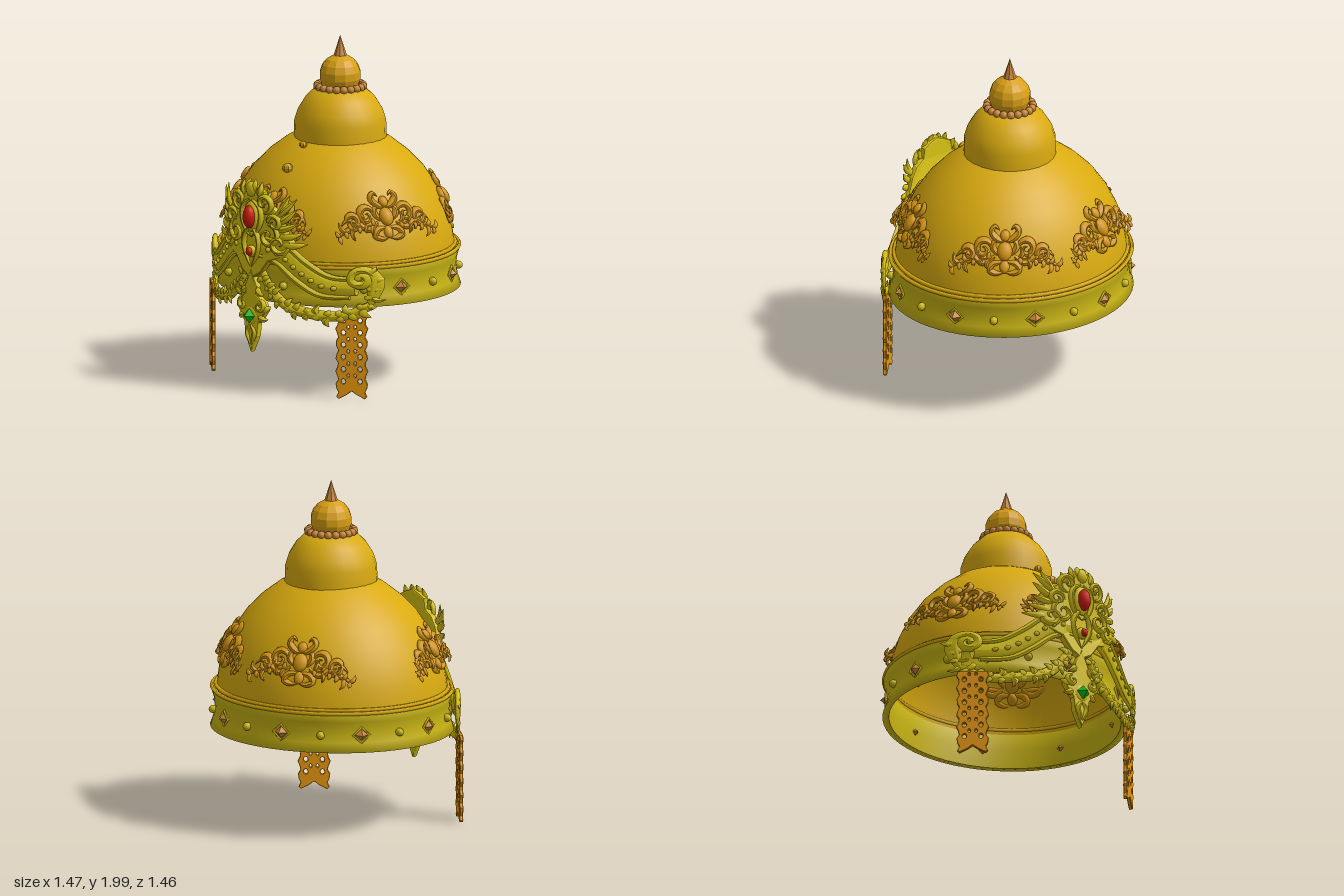
import * as THREE from 'three';
import { mergeGeometries } from 'three/addons/utils/BufferGeometryUtils.js';

const mat = (color, flatShading = false) =>
  new THREE.MeshStandardMaterial({ color, flatShading, side: THREE.DoubleSide });
const gold = mat(0xd9aa0f), facetGold = mat(0xd9a012, true), bandGold = mat(0xc9b414);
const plateGold = mat(0xd6c012), filigreeGold = mat(0xcf9212), orange = mat(0xe8980f);
const bronze = mat(0xc8863a), spikeBronze = mat(0xc8863a, true);
const red = mat(0xcc1a0a), green = mat(0x10c020, true);

function add(parent, name, geometry, material, x = 0, y = 0, z = 0) {
  const m = new THREE.Mesh(geometry, material);
  m.name = name;
  m.position.set(x, y, z);
  parent.add(m);
  return m;
}
const lathe = (pts, seg) => new THREE.LatheGeometry(pts.map(p => new THREE.Vector2(...p)), seg);
const curveOf = pts => new THREE.CatmullRomCurve3(pts.map(([x, y, z = 0]) => new THREE.Vector3(x, y, z)));
const mirrored = pts => pts.map(([x, y, z = 0]) => [-x, y, z]);
const bulge = t => 0.12 + 0.88 * Math.sin(Math.PI * Math.min(1, 0.12 + t * 0.88));
const even = t => 0.75 + 0.25 * Math.sin(Math.PI * t);

// Tapered, flattened tube along a path
function stroke(pts, r, profile = bulge, seg = 14, sides = 6, flat = 0.7) {
  const curve = curveOf(pts), g = new THREE.TubeGeometry(curve, seg, 1, sides), pos = g.attributes.position;
  const p = new THREE.Vector3();
  for (let i = 0; i < pos.count; i++) {
    const t = Math.floor(i / (sides + 1)) / seg, c = curve.getPointAt(t), k = r * profile(t);
    p.fromBufferAttribute(pos, i).sub(c).multiplyScalar(k);
    pos.setXYZ(i, c.x + p.x, c.y + p.y, c.z + p.z * flat);
  }
  return g;
}
// Short leaflets alternating along both sides of a path
function leaflets(pts, n, len, r) {
  const curve = curveOf(pts), out = [];
  for (let i = 0; i < n; i++) {
    const t = (i + 0.5) / n, p = curve.getPointAt(t), d = curve.getTangentAt(t);
    for (const s of [1, -1]) {
      const a = Math.atan2(d.y, d.x) + s * 0.85, l = len * (0.8 + 0.3 * Math.sin(i * 2.3 + s));
      out.push(stroke([[p.x, p.y, p.z], [p.x + Math.cos(a) * l * 0.55, p.y + Math.sin(a) * l * 0.55, p.z + 0.015],
        [p.x + Math.cos(a + s * 0.5) * l, p.y + Math.sin(a + s * 0.5) * l, p.z]], r, bulge, 6, 5));
    }
  }
  return out;
}
function spiral(x, y, r, turns, start, dir) {
  return Array.from({ length: 13 }, (_, i) => {
    const t = i / 12, a = start + dir * t * turns * Math.PI * 2, k = r * (1 - 0.8 * t);
    return [x + Math.cos(a) * k, y + Math.sin(a) * k, 0.012 * t];
  });
}
function blob(x, y, z, rx, ry, rz) {
  return new THREE.SphereGeometry(1, 12, 8).scale(rx, ry, rz).translate(x, y, z);
}
// Plate from a half outline, mirrored in x
function plate(half, depth) {
  const pts = [...half, ...mirrored(half).reverse().slice(1, -1)].map(p => new THREE.Vector2(p[0], p[1]));
  return new THREE.ExtrudeGeometry(new THREE.Shape(pts), {
    depth, bevelEnabled: true, bevelThickness: 0.01, bevelSize: 0.008, bevelSegments: 2 });
}
// Move every vertex's z by a rule, then join
function bendAndMerge(list, depth) {
  return mergeGeometries(list.map(g => {
    const p = g.attributes.position;
    for (let i = 0; i < p.count; i++) p.setZ(i, p.getZ(i) + depth(p.getX(i), p.getY(i)));
    g.computeVertexNormals();
    return g.index ? g.toNonIndexed() : g;
  }));
}

function swagGeometry() {
  const parts = [blob(0, 1.05, 0.01, 0.045, 0.05, 0.035), blob(0, 0.965, 0, 0.03, 0.035, 0.025), blob(0, 1.13, 0, 0.03, 0.03, 0.025)];
  const lines = [
    [[0.0, 1.1], [0.04, 1.11], [0.08, 1.15], [0.06, 1.18], [0.035, 1.16]],
    [[0.02, 0.99], [0.07, 0.98], [0.09, 0.95], [0.05, 0.93], [0.0, 0.935]],
    [[0.04, 1.03], [0.07, 1.07], [0.06, 1.1], [0.03, 1.1]],
    spiral(0.13, 1.06, 0.055, 1.3, Math.PI, -1),
    [[0.06, 1.02], [0.12, 0.985], [0.19, 1.02], [0.25, 1.04], [0.29, 1.01]],
    spiral(0.215, 1.035, 0.04, 1.2, 0, 1),
  ];
  const wing = [[0.06, 1.01], [0.15, 1.01], [0.24, 0.99], [0.33, 0.95]];
  for (const f of [p => p, mirrored]) {
    for (const l of lines) parts.push(stroke(f(l), 0.02, bulge, 16, 6, 1));
    parts.push(stroke(f(wing), 0.022), ...leaflets(f(wing), 6, 0.06, 0.014));
  }
  return bendAndMerge(parts, (u, v) => 0.665 - 0.44 * (v - 0.93) - 0.35 * u * u);
}

function tiaraGeometry() {
  const parts = [
    plate([[0, 1.23], [0.05, 1.21], [0.09, 1.19], [0.1, 1.13], [0.16, 1.1], [0.2, 1.05], [0.23, 0.97], [0.27, 0.91],
      [0.23, 0.84], [0.13, 0.8], [0.07, 0.72], [0, 0.68]], 0.02),
    plate([[0, 0.72], [0.04, 0.63], [0.035, 0.58], [0.09, 0.54], [0.11, 0.5], [0.07, 0.44], [0.05, 0.42], [0.04, 0.34], [0, 0.25]], 0.02),
    blob(0, 1.04, 0.025, 0.055, 0.09, 0.025), blob(0, 0.835, 0.025, 0.035, 0.035, 0.025), blob(0, 1.2, 0.02, 0.04, 0.045, 0.03),
    blob(0, 0.455, 0.02, 0.055, 0.055, 0.02),
  ];
  const band = [[0.07, 0.87], [0.2, 0.84], [0.32, 0.745], [0.44, 0.67], [0.58, 0.66]];
  const shift = (dy, z) => band.map(([x, y]) => [x + dy * 0.5, y + dy, z]);
  const garland = [[0.64, 0.56], [0.52, 0.495], [0.37, 0.5], [0.22, 0.54], [0.13, 0.62], [0.05, 0.74]];
  const stem = [[0.6, 0.77], [0.655, 0.72], [0.65, 0.63], [0.63, 0.54]];
  const scrolls = [
    spiral(0.13, 0.94, 0.07, 1.3, Math.PI / 2, -1), spiral(0.1, 1.13, 0.06, 1.2, -Math.PI / 2, 1),
    spiral(0.17, 1.02, 0.05, 1.2, Math.PI, -1), spiral(0.2, 0.9, 0.06, 1.2, 0, -1), spiral(0.07, 0.52, 0.035, 1.1, Math.PI / 2, -1),
    [[0, 0.99], [0.05, 0.93], [0.06, 0.87], [0.03, 0.79], [0, 0.74]],
    [[0.01, 1.14], [0.065, 1.1], [0.075, 1.03], [0.04, 0.95], [0, 0.92]],
    [[0, 0.4], [0.03, 0.36], [0.015, 0.31], [0, 0.27]],
  ].map(l => l.map(([x, y, z = 0]) => [x, y, z + 0.025]));
  // leaves fanning out from the crest: start, tip
  const fan = [[0.05, 1.15, 0.07, 1.25], [0.08, 1.12, 0.13, 1.2], [0.14, 1.04, 0.29, 1.17], [0.16, 1.03, 0.25, 1.19],
    [0.17, 1.01, 0.29, 1.11], [0.17, 0.98, 0.3, 1.03], [0.18, 0.94, 0.32, 0.97], [0.2, 0.9, 0.35, 0.91], [0.02, 1.18, 0.02, 1.26],
    [0.06, 0.5, 0.13, 0.52], [0.05, 0.46, 0.11, 0.44], [0.03, 0.62, 0.08, 0.58]];
  for (const f of [p => p, mirrored]) {
    parts.push(stroke(f(band), 0.07, t => 0.9 - 0.25 * t, 24, 10, 0.45));
    for (const dy of [0.055, -0.055]) parts.push(stroke(f(shift(dy, 0.012)), 0.018, even, 24));
    for (let i = 1; i < 9; i++) {
      const p = curveOf(f(band)).getPointAt(i / 9.5);
      parts.push(blob(p.x, p.y, 0.03, 0.014, 0.014, 0.012));
    }
    parts.push(stroke(f(spiral(0.605, 0.715, 0.06, 1.5, 0, 1)), 0.026, even, 24, 8, 1));
    parts.push(stroke(f(stem), 0.035, bulge, 16, 8), ...leaflets(f(stem), 5, 0.05, 0.015));
    parts.push(stroke(f(garland), 0.032, even, 24, 8), ...leaflets(f(garland), 13, 0.058, 0.018));
    for (const s of scrolls) parts.push(stroke(f(s), 0.017, bulge, 18, 6, 1));
    for (const [x, y, X, Y] of fan)
      parts.push(stroke(f([[x, y, 0.01], [(x + X) / 2 + 0.01, (y + Y) / 2 - 0.008, 0.025], [X, Y, 0.005]]), 0.021, bulge, 8));
  }
  return bendAndMerge(parts, x => 0.655 - 0.78 * x * x);
}

// Pierced ribbon with a swallowtail end
function tasselGeometry() {
  const right = [];
  for (let i = 0; i <= 20; i++) right.push([0.083 + 0.009 * Math.sin(i * 1.9), 0.52 - i * 0.025]);
  right.push([0.075, 0.01], [0.035, 0.03], [0, 0.055]);
  const shape = new THREE.Shape([...right, ...mirrored(right.slice(0, -1)).reverse()].map(p => new THREE.Vector2(p[0], p[1])));
  const hole = (x, y, rx, ry) => shape.holes.push(new THREE.Path().absellipse(x, y, rx, ry, 0, Math.PI * 2));
  for (let i = 0; i < 6; i++) {
    const y = 0.11 + i * 0.072;
    for (const s of [1, -1]) {
      hole(s * 0.048, y, 0.015, 0.018);
      hole(s * 0.02, y + 0.034, 0.01, 0.013);
    }
  }
  return new THREE.ExtrudeGeometry(shape, { depth: 0.014, curveSegments: 4, bevelThickness: 0.004, bevelSize: 0.003, bevelSegments: 1 });
}

export function createModel() {
  const root = new THREE.Group();
  root.name = 'ceremonialHelmet';

  // Slightly oval shell: dome, band, studs and filigree
  const shell = new THREE.Group();
  shell.name = 'shell';
  shell.position.set(0.012, 0, -0.037);
  shell.scale.z = 0.935;
  root.add(shell);
  add(shell, 'dome', lathe([[0.69, 0.74], [0.685, 0.8], [0.67, 0.9], [0.635, 1.01], [0.58, 1.12], [0.51, 1.22],
    [0.42, 1.31], [0.32, 1.385], [0.25, 1.42]], 64), gold);
  const band = [[0.685, 0.545], [0.725, 0.545], [0.705, 0.6], [0.697, 0.66], [0.705, 0.72], [0.722, 0.775], [0.69, 0.78], [0.68, 0.66], [0.685, 0.545]];
  add(shell, 'brimBand', lathe(band, 64), bandGold);
  for (const [r, y] of [[0.715, 0.775], [0.692, 0.79]])
    add(shell, 'bandRim', new THREE.TorusGeometry(r, 0.012, 6, 64).rotateX(Math.PI / 2), gold, 0, y);
  for (let i = 0; i < 18; i++) {
    const a = 0.26 + i * Math.PI / 9, stud = new THREE.Group();
    stud.name = i % 2 ? 'roundStud' : 'diamondStud';
    stud.position.set(Math.cos(a) * 0.698, 0.645, Math.sin(a) * 0.698);
    stud.rotation.y = Math.PI / 2 - a;
    shell.add(stud);
    if (i % 2) add(stud, 'studBead', blob(0, 0, 0.01, 0.024, 0.024, 0.028), bandGold);
    else {
      add(stud, 'studPoint', new THREE.OctahedronGeometry(1).scale(0.042, 0.036, 0.04), spikeBronze);
      add(stud, 'studFrame', new THREE.TorusGeometry(0.05, 0.009, 4, 4).scale(1, 0.9, 1), bandGold, 0, 0, 0.005);
    }
  }
  const swag = swagGeometry();
  for (const deg of [90, 20, -50, -113, 155])
    add(shell, 'filigreeSwag', swag, filigreeGold).rotation.y = Math.PI / 2 - THREE.MathUtils.degToRad(deg);

  // Finial: upper dome, bead ring, ball and spike
  const finial = new THREE.Group();
  finial.name = 'finial';
  finial.position.set(0.02, 0, -0.037);
  root.add(finial);
  add(finial, 'upperDome', lathe([[0.268, 1.405], [0.265, 1.5], [0.245, 1.565], [0.205, 1.63], [0.15, 1.685], [0.08, 1.7]], 24), gold);
  add(finial, 'ball', new THREE.SphereGeometry(0.122, 12, 9), facetGold, 0, 1.765);
  add(finial, 'spike', new THREE.ConeGeometry(0.048, 0.15, 8), spikeBronze, 0, 1.925);
  for (let i = 0; i < 20; i++) {
    const a = i * Math.PI / 10;
    add(finial, 'bead', new THREE.SphereGeometry(0.024, 10, 8), bronze, Math.cos(a) * 0.133, 1.7, Math.sin(a) * 0.133);
  }
  for (const [y, z, r] of [[1.28, 0.39, 0.036], [1.4, 0.265, 0.026]])
    add(root, 'domeStud', new THREE.SphereGeometry(r, 8, 6).scale(1, 0.8, 0.8), facetGold, 0.02, y, z);

  // Front plate with gems
  add(root, 'frontPlate', tiaraGeometry(), plateGold, 0.012);
  add(root, 'largeRedGem', blob(0, 0, 0, 0.04, 0.068, 0.045), red, 0.015, 1.04, 0.695);
  add(root, 'smallRedGem', blob(0, 0, 0, 0.022, 0.025, 0.025), red, 0.015, 0.835, 0.695);
  add(root, 'greenGem', new THREE.OctahedronGeometry(0.043), green, 0.012, 0.455, 0.695);

  // Hanging ribbons
  const tassel = tasselGeometry();
  for (const s of [1, -1]) add(root, 'sideRibbon', tassel, orange, s * 0.565 - 0.005, 0, 0.405).rotation.y = s * 0.7;
  return root;
}
